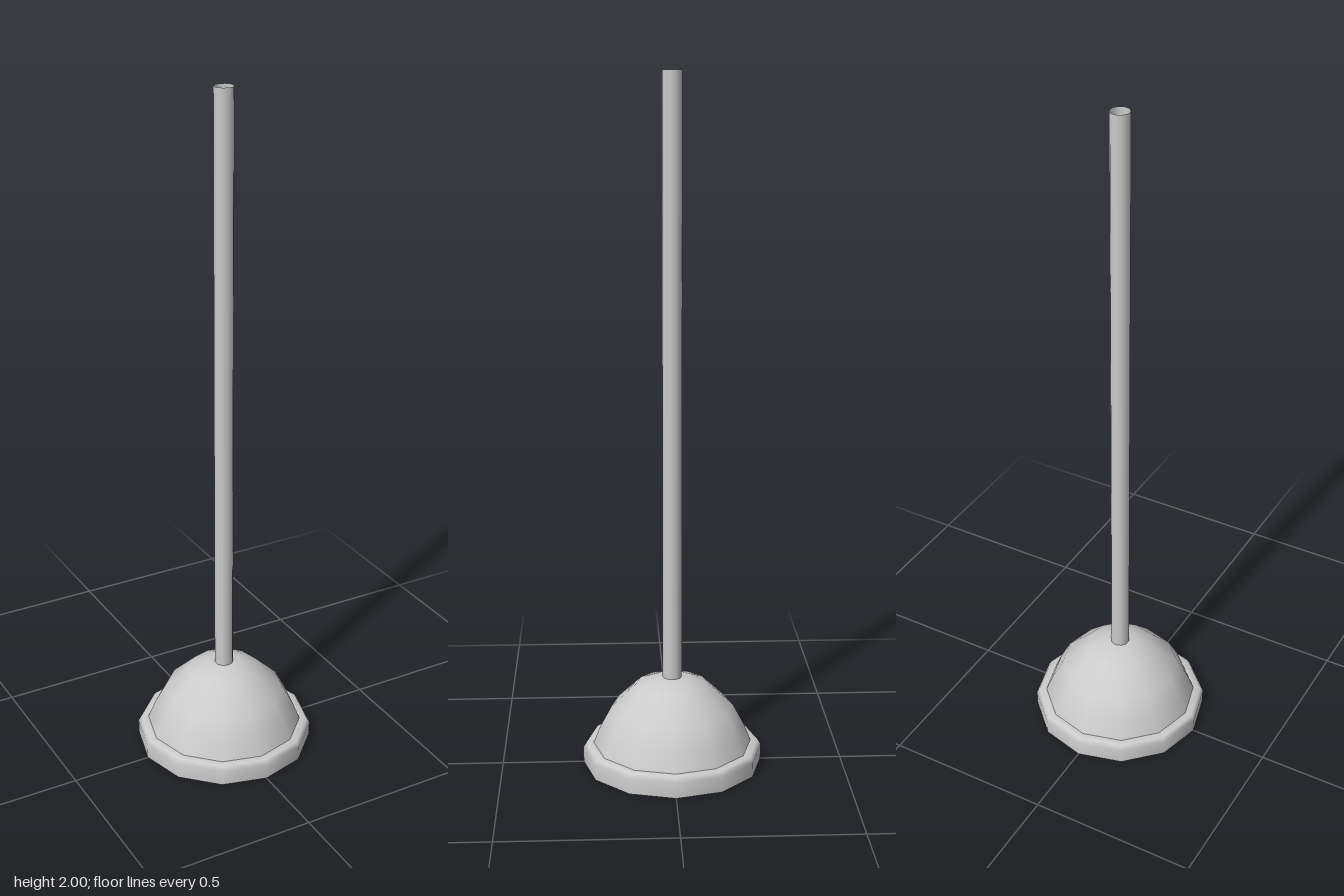
import * as THREE from 'three';

const SIDES = 12;

export function createModel() {
  const group = new THREE.Group();
  const material = new THREE.MeshStandardMaterial({ color: 0xcccccc, side: THREE.DoubleSide });

  const add = (name, geometry) => {
    const mesh = new THREE.Mesh(geometry, material);
    mesh.name = name;
    group.add(mesh);
    return mesh;
  };
  const lathe = (profile) =>
    new THREE.LatheGeometry(profile.map(([r, y]) => new THREE.Vector2(r, y)), SIDES);

  // Thick lip around the open bottom of the cup
  add('cupRim', lathe([[0.262, 0], [0.263, 0.045], [0.254, 0.06], [0.232, 0.06]]));

  // Hollow rubber dome, open below
  add('cupDome', lathe([[0.232, 0.06], [0.212, 0.11], [0.18, 0.17], [0.105, 0.242], [0.05, 0.262], [0, 0.264]]));

  // Long hollow stick standing on the dome
  const bottom = 0.26, top = 2;
  const stick = add('handle', new THREE.CylinderGeometry(0.028, 0.028, top - bottom, 10, 1, true));
  stick.position.y = (top + bottom) / 2;

  return group;
}
